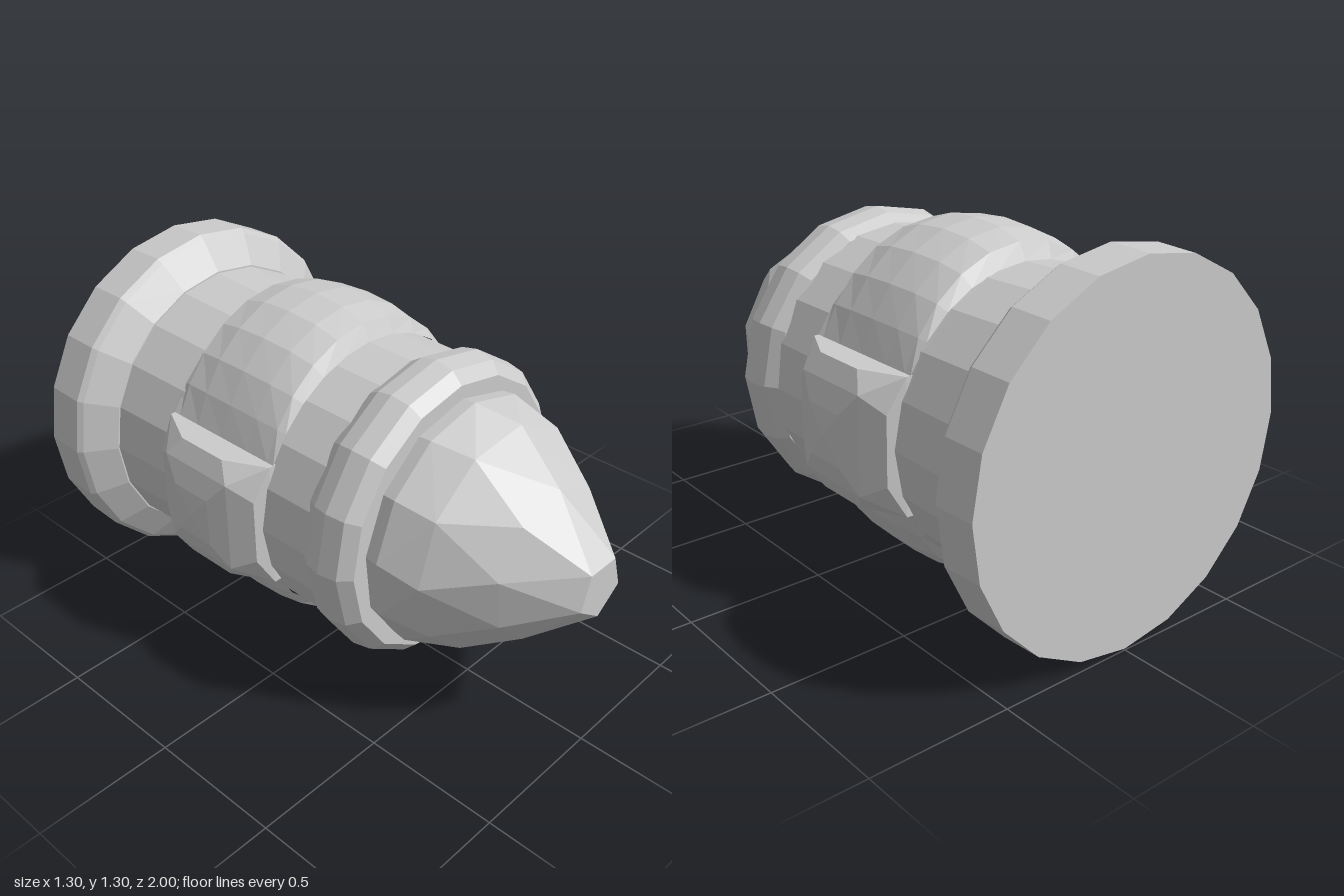
import * as THREE from 'three';
import { ConvexGeometry } from 'three/addons/geometries/ConvexGeometry.js';

const material = new THREE.MeshStandardMaterial({ color: 0xcccccc, flatShading: true });
const midZ = -0.24, halfZ = 0.25;

function add(parent, geometry, name) {
  const mesh = new THREE.Mesh(geometry, material);
  mesh.name = name;
  parent.add(mesh);
  return mesh;
}

// Turned part along +z from [radius, z] pairs given back to front
function turned(profile, sides) {
  const points = profile.map(([r, z]) => new THREE.Vector2(r, z));
  return new THREE.LatheGeometry(points, sides).rotateX(Math.PI / 2);
}

// Ring of points around the z axis
function ring(radius, z, count, turn) {
  return Array.from({ length: count }, (_, i) => {
    const a = turn + (i / count) * Math.PI * 2;
    return new THREE.Vector3(Math.cos(a) * radius, Math.sin(a) * radius, z);
  });
}

// Curved panel wrapped over the barrel, swelling to a dome in the middle
function bulgeGeometry() {
  const rows = [-1, -0.88, -0.5, 0, 0.5, 0.88, 1];
  const swell = [0, 0.6, 0.9, 1, 0.9, 0.6, 0];
  const columns = 10;
  const geometry = new THREE.PlaneGeometry(2, 2, columns, rows.length - 1);
  const pos = geometry.attributes.position;
  for (let i = 0; i < pos.count; i++) {
    const t = pos.getX(i);
    const row = Math.floor(i / (columns + 1));
    const r = 0.515 + 0.097 * Math.pow(Math.max(0, 1 - t * t), 1.5) * swell[row];
    const a = t * THREE.MathUtils.degToRad(63);
    pos.setXYZ(i, Math.sin(a) * r, Math.cos(a) * r, midZ + rows[row] * halfZ);
  }
  geometry.computeVertexNormals();
  return geometry;
}

// Square-footed domed cap on the +x side
function sideCapGeometry() {
  const points = [];
  const layers = [[0.4, 0.235, 0.25], [0.475, 0.235, 0.25], [0.55, 0.235, 0.1],
    [0.54, 0.12, 0.235], [0.585, 0.17, 0.15], [0.612, 0.09, 0.08]];
  for (const [x, y, z] of layers)
    for (const sy of [-1, 1])
      for (const sz of [-1, 1]) points.push(new THREE.Vector3(x, sy * y, midZ + sz * z));
  points.push(new THREE.Vector3(0.62, 0, midZ));
  return new ConvexGeometry(points);
}

export function createModel() {
  const model = new THREE.Group();
  model.name = 'hydrant';
  const lying = new THREE.Group();
  lying.name = 'lyingBody';
  lying.position.y = 0.65;
  model.add(lying);

  // Base flange, barrel and collar
  add(lying, turned([[0, -1], [0.645, -1], [0.65, -0.85], [0.635, -0.83], [0.53, -0.76], [0, -0.76]], 20), 'baseFlange');
  add(lying, turned([[0.525, -0.78], [0.515, -0.5], [0.51, 0.22]], 20), 'barrel');
  add(lying, turned([[0, 0.195], [0.51, 0.195], [0.54, 0.24], [0.553, 0.3], [0.54, 0.37], [0.5, 0.41], [0, 0.41]], 16), 'collar');

  // Faceted bonnet narrowing to a five-sided tip
  add(lying, new ConvexGeometry([
    ...ring(0.445, 0.38, 13, 0.1), ...ring(0.455, 0.46, 13, 0.1),
    ...ring(0.41, 0.6, 11, 0.25), ...ring(0.275, 0.8, 9, 0.1),
    ...ring(0.108, 1, 5, -Math.PI / 2),
  ]), 'bonnet');

  // Upper and lower bulges
  add(lying, bulgeGeometry(), 'upperBulge');
  add(lying, bulgeGeometry().rotateZ(Math.PI), 'lowerBulge');

  // Side caps
  add(lying, sideCapGeometry(), 'leftCap');
  add(lying, sideCapGeometry().rotateZ(Math.PI), 'rightCap');
  return model;
}
